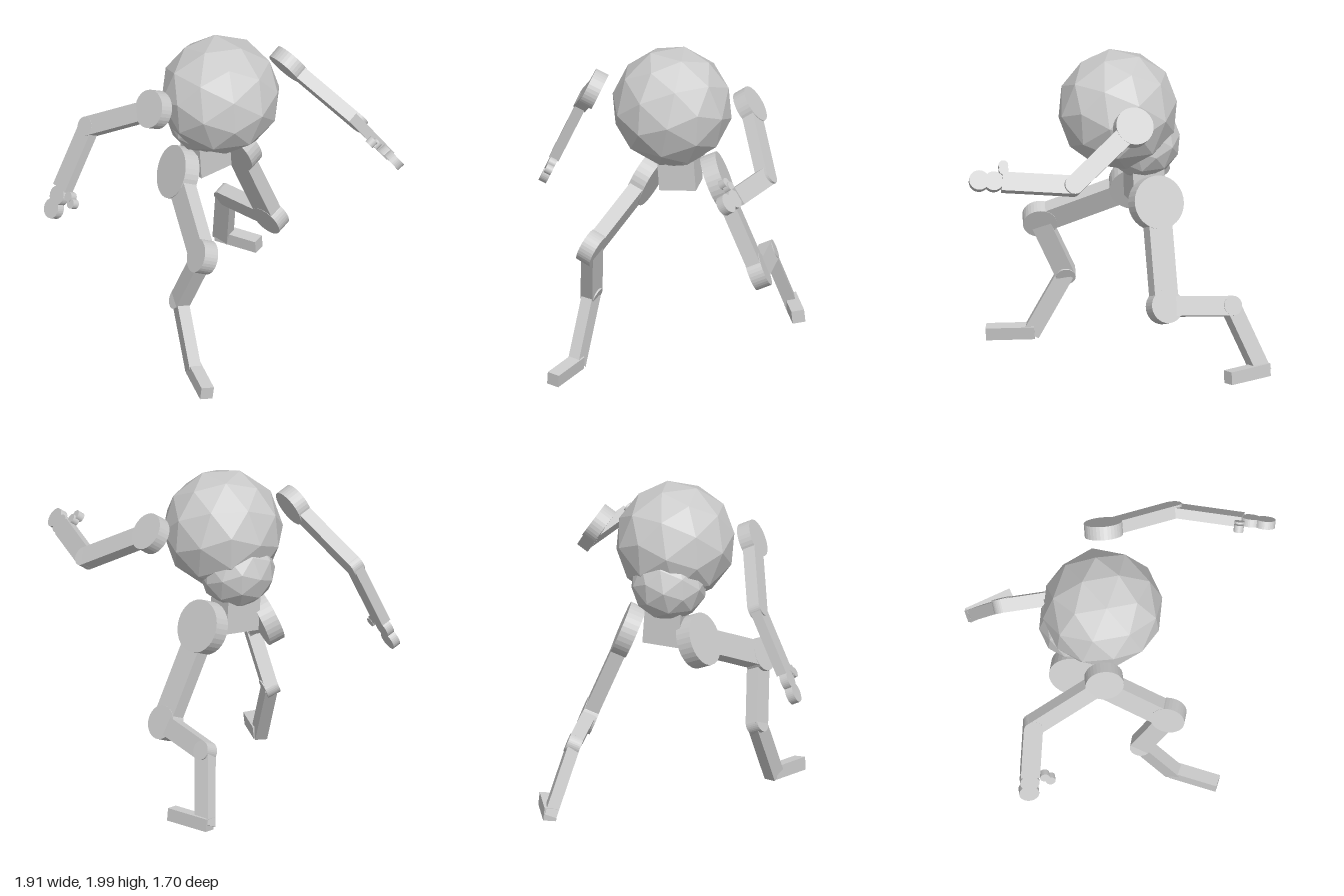
import * as THREE from 'three';

const material = new THREE.MeshStandardMaterial({ color: 0xcccccc, flatShading: true });
const V = (p) => new THREE.Vector3(...p);

function add(parent, name, geometry) {
  const mesh = new THREE.Mesh(geometry, material);
  mesh.name = name;
  parent.add(mesh);
  return mesh;
}

// Flat bar from a to b: width lies in the limb plane, thickness along its normal n
function bar(parent, name, a, b, width, thick, n) {
  const start = V(a), end = V(b);
  const y = end.clone().sub(start);
  const length = y.length();
  y.normalize();
  const z = V(n).addScaledVector(y, -V(n).dot(y)).normalize();
  const x = y.clone().cross(z);
  const mesh = add(parent, name, new THREE.BoxGeometry(width, length, thick));
  mesh.quaternion.setFromRotationMatrix(new THREE.Matrix4().makeBasis(x, y, z));
  mesh.position.copy(start).lerp(end, 0.5);
}

// Round joint plate whose axis is the limb plane normal n
function disc(parent, name, p, radius, thick, n) {
  const mesh = add(parent, name, new THREE.CylinderGeometry(radius, radius, thick, 32));
  mesh.quaternion.setFromUnitVectors(new THREE.Vector3(0, 1, 0), V(n).normalize());
  mesh.position.copy(V(p));
}

// Faceted ball with one face turned straight up
function ball(parent, name, p, radius) {
  const mesh = add(parent, name, new THREE.IcosahedronGeometry(radius, 1));
  mesh.quaternion.setFromUnitVectors(V([1, 1, 1]).normalize(), new THREE.Vector3(0, 1, 0));
  mesh.position.copy(V(p));
}

// Thigh, shin, raised instep and foot, with a plate at each joint
function leg(name, { hip, knee, ankle, toeJoint, heel, tip, n, footN }) {
  const g = new THREE.Group();
  g.name = name;
  disc(g, 'hipJoint', hip, 0.165, 0.1, n);
  bar(g, 'thigh', hip, knee, 0.155, 0.09, n);
  disc(g, 'kneeJoint', knee, 0.105, 0.095, n);
  bar(g, 'shin', knee, ankle, 0.12, 0.085, n);
  disc(g, 'ankleJoint', ankle, 0.06, 0.085, n);
  bar(g, 'instep', ankle, toeJoint, 0.105, 0.075, footN);
  bar(g, 'foot', heel, tip, 0.08, 0.08, footN);
  return g;
}

// Upper arm, forearm and a hand of overlapping plates
function arm(name, { shoulder, elbow, wrist, thumb, n }) {
  const g = new THREE.Group();
  g.name = name;
  disc(g, 'shoulderJoint', shoulder, 0.118, 0.085, n);
  bar(g, 'upperArm', shoulder, elbow, 0.118, 0.08, n);
  disc(g, 'elbowJoint', elbow, 0.06, 0.08, n);
  bar(g, 'forearm', elbow, wrist, 0.118, 0.065, n);
  const dir = V(wrist).sub(V(elbow)).normalize();
  const handN = V(n).addScaledVector(dir, -V(n).dot(dir)).toArray();
  const along = (d) => V(wrist).addScaledVector(dir, d).toArray();
  disc(g, 'palm', along(0.05), 0.06, 0.05, handN);
  disc(g, 'fingers', along(0.14), 0.062, 0.05, handN);
  thumb.forEach((p) => disc(g, 'thumb', p, 0.03, 0.045, handN));
  return g;
}

export function createModel() {
  const model = new THREE.Group();
  model.name = 'figure';

  // Trunk
  ball(model, 'chest', [-0.145, 1.645, -0.095], 0.372);
  ball(model, 'belly', [-0.3, 1.43, -0.09], 0.238);
  bar(model, 'pelvis', [-0.31, 1.055, -0.115], [-0.31, 1.27, -0.1], 0.2, 0.23, [0, 0, 1]);

  // Legs
  model.add(leg('frontLeg', {
    hip: [-0.315, 1.075, 0.1], knee: [0.235, 0.82, 0.325], ankle: [0.06, 0.44, 0.365],
    toeJoint: [0.265, 0.05, 0.415], heel: [0.245, 0.065, 0.405], tip: [0.525, 0.048, 0.507],
    n: [-0.2, 0.38, 0.9], footN: [-0.35, 0.1, 0.9],
  }));
  model.add(leg('backLeg', {
    hip: [-0.32, 1.105, -0.345], knee: [-0.305, 0.52, -0.6], ankle: [-0.73, 0.475, -0.575],
    toeJoint: [-0.9, 0.06, -0.68], heel: [-0.935, 0.08, -0.665], tip: [-0.66, 0.085, -0.775],
    n: [-0.18, 0.39, -0.92], footN: [-0.35, 0.1, -0.9],
  }));

  // Arms
  model.add(arm('frontArm', {
    shoulder: [-0.165, 1.705, 0.4], elbow: [-0.61, 1.425, 0.56], wrist: [-0.64, 1.035, 0.74],
    thumb: [[-0.55, 1.02, 0.745], [-0.515, 0.99, 0.755]], n: [0.03, 0.42, 0.9],
  }));
  model.add(arm('backArm', {
    shoulder: [-0.11, 1.7, -0.59], elbow: [0.325, 1.43, -0.785], wrist: [0.75, 1.46, -0.685],
    thumb: [[0.725, 1.515, -0.635], [0.72, 1.535, -0.605]], n: [-0.03, 0.55, -0.8],
  }));

  return model;
}
